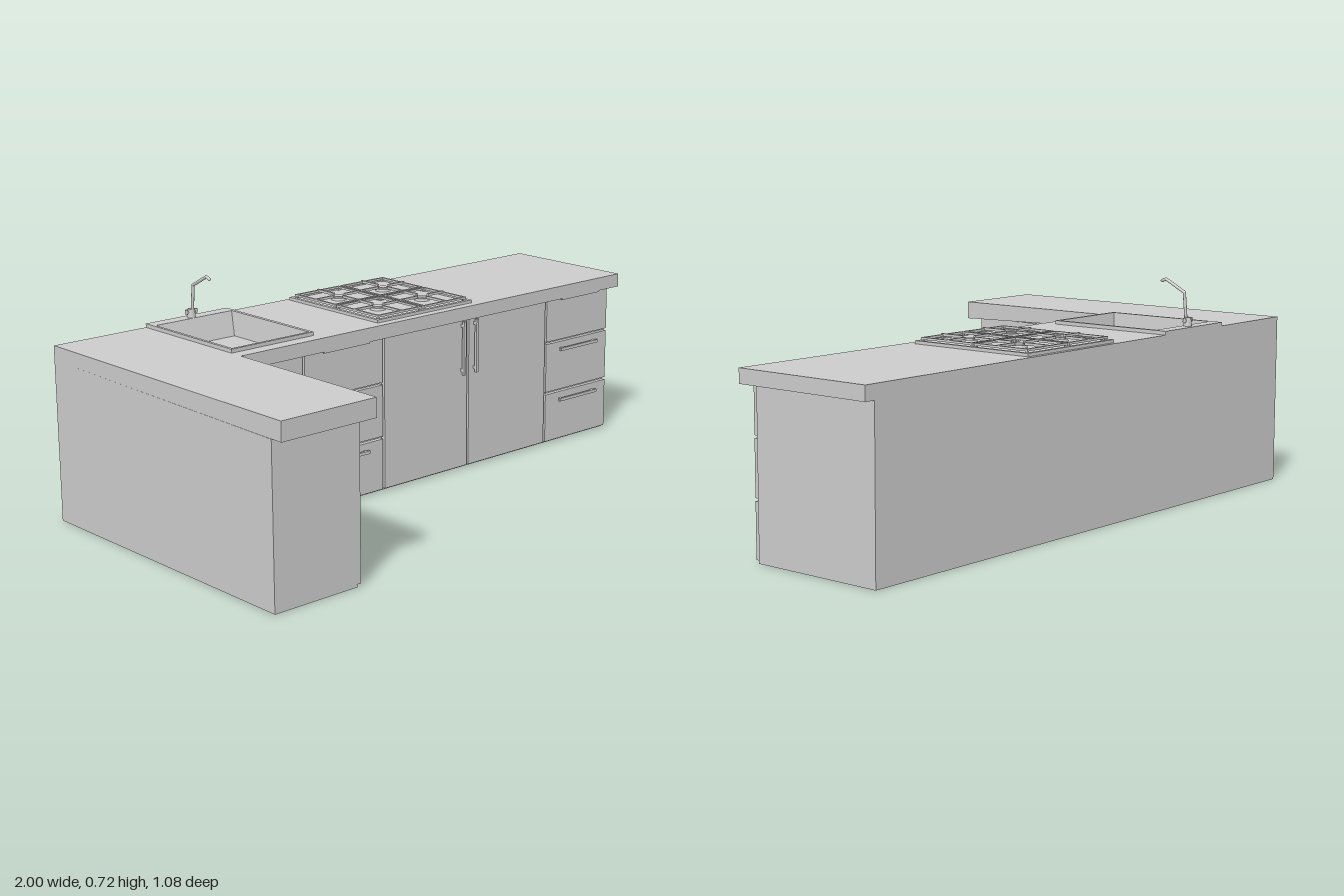
import * as THREE from 'three';

const grey = new THREE.MeshStandardMaterial({ color: 0xcccccc, flatShading: true });
const greyOpen = new THREE.MeshStandardMaterial({ color: 0xcccccc, flatShading: true, side: THREE.DoubleSide });
const smooth = new THREE.MeshStandardMaterial({ color: 0xcccccc });

export function createModel() {
  const model = new THREE.Group();
  model.name = 'kitchenCounter';

  const add = (name, geometry, parent = model, material = grey) => {
    const mesh = new THREE.Mesh(geometry, material);
    mesh.name = name;
    parent.add(mesh);
    return mesh;
  };
  const group = (name) => {
    const g = new THREE.Group();
    g.name = name;
    model.add(g);
    return g;
  };
  // Box given by its extents
  const box = (name, x0, x1, y0, y1, z0, z1, parent) => add(name,
    new THREE.BoxGeometry(x1 - x0, y1 - y0, z1 - z0)
      .translate((x0 + x1) / 2, (y0 + y1) / 2, (z0 + z1) / 2), parent);
  // Slab from a plan outline of [x, z] points, with an optional hole
  const toPoints = (pts) => pts.map(([x, z]) => new THREE.Vector2(x, -z));
  const rect = (x0, x1, z0, z1) => [[x0, z0], [x0, z1], [x1, z1], [x1, z0]];
  const slab = (plan, y0, y1, hole) => {
    const shape = new THREE.Shape(toPoints(plan));
    if (hole) shape.holes.push(new THREE.Path(toPoints(hole)));
    return new THREE.ExtrudeGeometry(shape, { depth: y1 - y0, bevelEnabled: false })
      .rotateX(-Math.PI / 2).translate(0, y0, 0);
  };
  const lPlan = (xInner, xEnd, zRun, zLeg) =>
    [[-1, -0.54], [-1, zLeg], [xInner, zLeg], [xInner, zRun], [xEnd, zRun], [xEnd, -0.54]];
  // The joint between cabinet and worktop drops slightly along the short leg
  const slopeJoint = (geometry, y) => {
    const p = geometry.attributes.position;
    for (let i = 0; i < p.count; i++) {
      if (Math.abs(p.getY(i) - y) < 1e-4 && p.getZ(i) > 0.1) p.setY(i, 0.496);
    }
    geometry.computeVertexNormals();
    return geometry;
  };

  // Cabinet body and worktop
  const basinHole = rect(-0.655, -0.362, -0.498, -0.115);
  const bodyPlan = lPlan(-0.705, 0.965, -0.092, 0.498);
  add('cabinetBase', slab(bodyPlan, 0, 0.46));
  add('cabinetUpper', slopeJoint(slab(bodyPlan, 0.46, 0.51, basinHole), 0.51));
  add('worktop', slopeJoint(slab(lPlan(-0.665, 1, -0.06, 0.54), 0.51, 0.555, basinHole), 0.51));

  // Doors and drawers of the long run
  const fronts = group('longRunFronts');
  for (const [x0, x1] of [[-0.69, -0.418], [-0.084, 0.28], [0.288, 0.65]]) {
    box('door', x0, x1, 0.008, 0.505, -0.092, -0.077, fronts);
  }
  const drawerRows = [[0.008, 0.176], [0.185, 0.355], [0.363, 0.505]];
  for (const [x0, x1] of [[-0.41, -0.092], [0.658, 0.961]]) {
    const mid = (x0 + x1) / 2;
    drawerRows.forEach(([y0, y1], i) => {
      const y = 0.15 + i * 0.18;
      box('drawerFront', x0, x1, y0, y1, -0.092, -0.077, fronts);
      box('drawerHandle', mid - 0.092, mid + 0.092, y - 0.005, y + 0.005, -0.069, -0.061, fronts);
      for (const s of [-1, 1]) {
        box('handlePost', mid + s * 0.08 - 0.005, mid + s * 0.08 + 0.005,
          y - 0.004, y + 0.004, -0.078, -0.066, fronts);
      }
    });
  }
  for (const x of [-0.67, 0.255, 0.312]) {
    box('doorHandle', x - 0.005, x + 0.005, 0.325, 0.505, -0.069, -0.06, fronts);
    for (const y of [0.34, 0.49]) {
      box('handlePost', x - 0.004, x + 0.004, y - 0.005, y + 0.005, -0.078, -0.066, fronts);
    }
  }

  // Doors of the short leg
  const legFronts = group('shortLegFronts');
  for (const [z0, z1] of [[-0.077, 0.21], [0.218, 0.497]]) {
    box('door', -0.705, -0.69, 0.008, 0.497, z0, z1, legFronts);
  }
  for (const z of [0.185, 0.243]) {
    box('doorHandle', -0.682, -0.673, 0.325, 0.502, z - 0.005, z + 0.005, legFronts);
    for (const y of [0.34, 0.485]) {
      box('handlePost', -0.691, -0.678, y - 0.005, y + 0.005, z - 0.004, z + 0.004, legFronts);
    }
  }

  // Sink: rim and open basin that narrows towards its floor
  const sink = group('sink');
  add('sinkRim', slab(rect(-0.665, -0.35, -0.54, -0.105), 0.555, 0.567, basinHole), sink);
  const basin = new THREE.BoxGeometry(1, 1, 1);
  const p = basin.attributes.position;
  for (let i = 0; i < p.count; i++) {
    const top = p.getY(i) > 0;
    const x = p.getX(i) > 0 ? (top ? -0.362 : -0.372) : (top ? -0.655 : -0.645);
    const z = p.getZ(i) > 0 ? (top ? -0.115 : -0.125) : (top ? -0.498 : -0.473);
    p.setXYZ(i, x, top ? 0.567 : 0.49, z);
  }
  basin.setIndex([...basin.index.array].filter((_, i) => i < 12 || i >= 18)); // no lid
  basin.clearGroups();
  basin.computeVertexNormals();
  add('basin', basin, sink, greyOpen);

  // Tap with bent spout and two side levers
  const tap = group('tap');
  const tx = -0.51;
  add('tapBase', new THREE.CylinderGeometry(0.011, 0.014, 0.03, 16).translate(tx, 0.58, -0.512), tap, smooth);
  const spout = [[0.585, -0.506], [0.673, -0.498], [0.711, -0.427], [0.705, -0.412]]
    .map(([y, z]) => new THREE.Vector3(tx, y, z));
  for (let i = 0; i < 3; i++) {
    const dir = spout[i + 1].clone().sub(spout[i]);
    const pipe = add('spoutPipe', new THREE.CylinderGeometry(0.005, 0.005, dir.length(), 12), tap, smooth);
    pipe.position.copy(spout[i]).addScaledVector(dir, 0.5);
    pipe.quaternion.setFromUnitVectors(new THREE.Vector3(0, 1, 0), dir.normalize());
    add('spoutBend', new THREE.SphereGeometry(0.005, 12, 8), tap, smooth).position.copy(spout[i + 1]);
  }
  add('leverBar', new THREE.CylinderGeometry(0.004, 0.004, 0.04, 10)
    .rotateZ(Math.PI / 2).translate(tx, 0.585, -0.512), tap, smooth);
  for (const s of [-1, 1]) {
    add('lever', new THREE.CylinderGeometry(0.005, 0.005, 0.014, 10)
      .translate(tx + s * 0.018, 0.586, -0.512), tap, smooth);
  }

  // Hob: plate, rim, four burners and their grates
  const hob = group('hob');
  const [hx0, hx1, hz0, hz1] = [-0.1, 0.312, -0.526, -0.09];
  box('hobPlate', hx0, hx1, 0.555, 0.561, hz0, hz1, hob);
  add('hobRim', slab(rect(hx0, hx1, hz0, hz1), 0.561, 0.565,
    rect(hx0 + 0.012, hx1 - 0.012, hz0 + 0.012, hz1 - 0.012)), hob);
  const t = 0.004;
  for (const [zBack, zFront, bz] of [[-0.513, -0.312, -0.405], [-0.304, -0.103, -0.213]]) {
    for (const [xl, xr, bx] of [[-0.087, 0.102, 0.01], [0.11, 0.299, 0.205]]) {
      add('burner', new THREE.CylinderGeometry(0.024, 0.026, 0.008, 24).translate(bx, 0.565, bz), hob, smooth);
      add('burnerCap', new THREE.CylinderGeometry(0.017, 0.017, 0.005, 24).translate(bx, 0.571, bz), hob, smooth);
      add('grateFrame', slab(rect(xl, xr, zBack, zFront), 0.568, 0.575,
        rect(xl + 0.008, xr - 0.008, zBack + 0.008, zFront - 0.008)), hob);
      const gap = 0.024;
      box('grateArm', xl, bx - gap, 0.57, 0.578, bz - t, bz + t, hob);
      box('grateArm', bx + gap, xr, 0.57, 0.578, bz - t, bz + t, hob);
      box('grateArm', bx - t, bx + t, 0.57, 0.578, zBack, bz - gap, hob);
      box('grateArm', bx - t, bx + t, 0.57, 0.578, bz + gap, zFront, hob);
      for (const x of [xl + t, xr - t]) {
        for (const z of [zBack + t, zFront - t]) {
          box('grateFoot', x - t, x + t, 0.56, 0.57, z - t, z + t, hob);
        }
      }
    }
  }

  return model;
}
